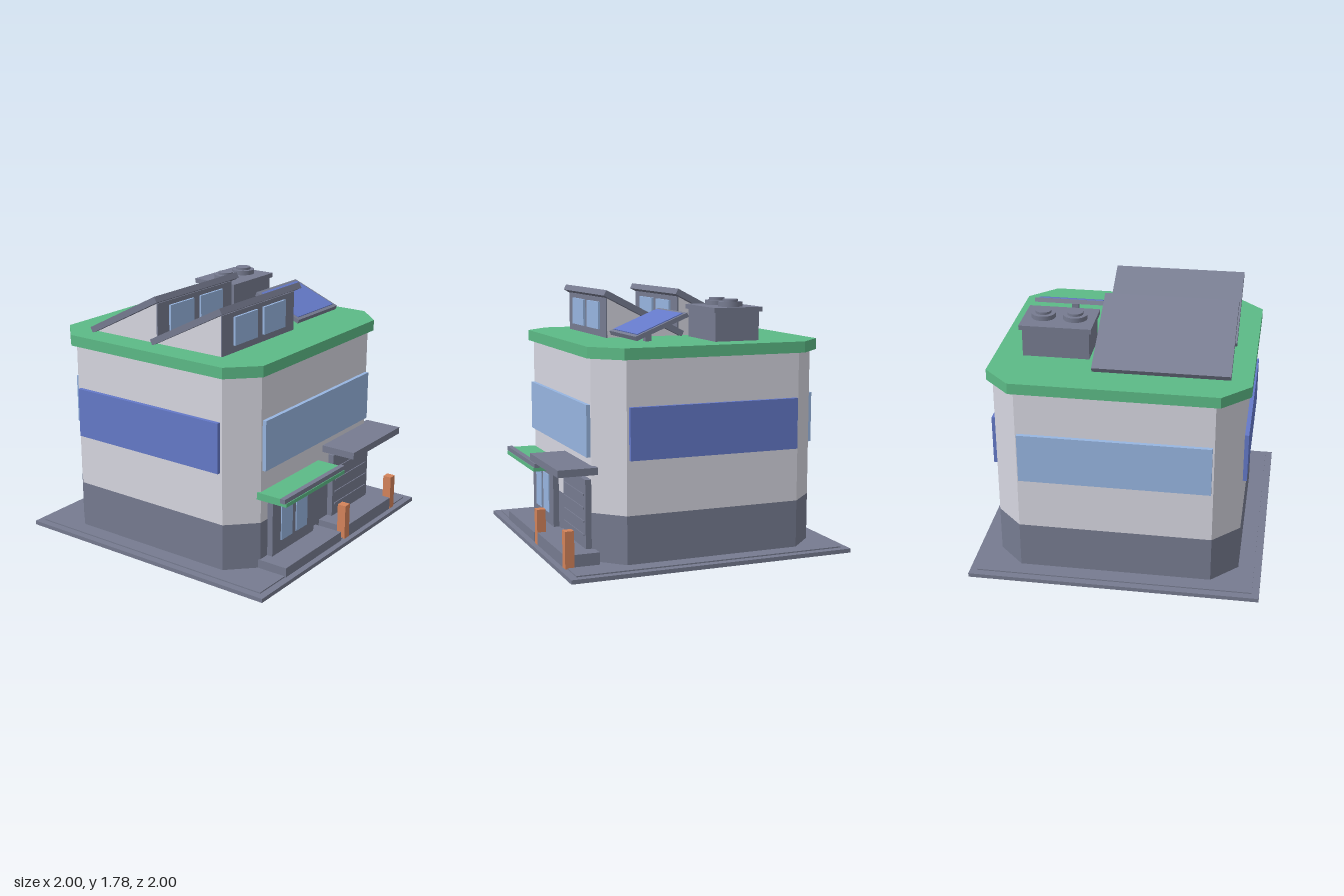
import * as THREE from 'three';

const mat = (name, color) => {
  const m = new THREE.MeshStandardMaterial({ color });
  m.name = name;
  return m;
};

export function createModel() {
  const grey = mat('slate grey', 0x767b90);
  const white = mat('wall white', 0xd6d6e0);
  const green = mat('roof green', 0x5cba86);
  const glass = mat('light glass', 0x97b5e0);
  const blue = mat('deep blue glass', 0x6479c8);
  const orange = mat('post orange', 0xd4835a);

  const model = new THREE.Group();
  model.name = 'building';

  const add = (name, geo, material, parent = model) => {
    const mesh = new THREE.Mesh(geo, material);
    mesh.name = name;
    parent.add(mesh);
    return mesh;
  };
  // Box given by its limits on each axis
  const box = (name, material, [x0, x1], [y0, y1], [z0, z1], parent) => {
    const mesh = add(name, new THREE.BoxGeometry(x1 - x0, y1 - y0, z1 - z0), material, parent);
    mesh.position.set((x0 + x1) / 2, (y0 + y1) / 2, (z0 + z1) / 2);
    return mesh;
  };
  // Upright prism on a rectangle with cut corners
  const prism = (name, material, hx, hz, cut, y0, y1) => {
    const pts = [[hx, hz - cut], [hx - cut, hz], [cut - hx, hz], [-hx, hz - cut],
      [-hx, cut - hz], [cut - hx, -hz], [hx - cut, -hz], [hx, cut - hz]];
    const shape = new THREE.Shape(pts.map(([x, y]) => new THREE.Vector2(x, y)));
    const geo = new THREE.ExtrudeGeometry(shape, { depth: y1 - y0, bevelEnabled: false });
    geo.rotateX(-Math.PI / 2);
    add(name, geo, material).position.set(0, y0, -0.046);
  };

  // Ground slab and main volume
  box('groundSlab', grey, [-1, 1], [0, 0.028], [-1, 1]);
  box('pavement', grey, [-0.95, 0.95], [0.028, 0.036], [-0.95, 0.95]);
  prism('lowerWall', grey, 0.84, 0.795, 0.18, 0.03, 0.36);
  prism('upperWall', white, 0.84, 0.795, 0.18, 0.36, 1.38);
  prism('roofSlab', green, 0.875, 0.826, 0.185, 1.375, 1.45);

  // Window bands on all four sides
  const bandY = [0.725, 1.07];
  box('frontWindow', glass, [-0.647, 0.647], bandY, [0.74, 0.776]);
  box('backWindow', glass, [-0.647, 0.647], bandY, [-0.868, -0.83]);
  box('leftWindow', blue, [0.83, 0.868], bandY, [-0.645, 0.553]);
  box('rightWindow', blue, [-0.868, -0.83], bandY, [-0.645, 0.553]);

  // Two sawtooth skylights
  [0, -0.53].forEach((dz) => {
    const g = new THREE.Group();
    g.name = 'skylight';
    g.position.z = dz;
    model.add(g);
    const side = new THREE.Shape([[-0.08, 1.448], [0.45, 1.448], [0.45, 1.72]]
      .map(([a, b]) => new THREE.Vector2(a, b)));
    const wedge = new THREE.ExtrudeGeometry(side, { depth: 0.825, bevelEnabled: false });
    wedge.rotateY(-Math.PI / 2);
    wedge.translate(0.135, 0, 0);
    add('skylightBody', wedge, white, g);
    box('skylightFront', grey, [-0.69, 0.135], [1.45, 1.722], [0.449, 0.459], g);
    box('skylightPane', glass, [-0.57, -0.315], [1.5, 1.69], [0.457, 0.475], g);
    box('skylightPane', glass, [-0.24, 0.013], [1.5, 1.69], [0.457, 0.475], g);
    const cover = add('skylightCover', new THREE.BoxGeometry(0.915, 0.042, 0.647), grey, g);
    cover.position.set(-0.277, 1.6125, 0.1925);
    cover.rotation.x = -0.477;
  });

  // Rooftop cooling unit with two fans
  box('coolerBody', grey, [0.228, 0.682], [1.45, 1.645], [-0.437, -0.117]);
  box('coolerCap', grey, [0.21, 0.7], [1.643, 1.675], [-0.456, -0.102]);
  [0.348, 0.565].forEach((x) => {
    add('fanRing', new THREE.CylinderGeometry(0.083, 0.083, 0.034, 20), grey).position.set(x, 1.69, -0.279);
    add('fanHub', new THREE.CylinderGeometry(0.054, 0.054, 0.026, 20), grey).position.set(x, 1.711, -0.279);
  });

  // Tilted solar panel on a post
  box('solarPost', grey, [0.433, 0.48], [1.45, 1.55], [0.258, 0.3]);
  const solar = new THREE.Group();
  solar.name = 'solarPanel';
  solar.position.set(0.457, 1.564, 0.273);
  solar.rotation.x = 0.385;
  model.add(solar);
  box('solarFrame', grey, [-0.253, 0.253], [-0.015, 0.015], [-0.195, 0.195], solar);
  box('solarCells', blue, [-0.228, 0.228], [0.014, 0.021], [-0.17, 0.17], solar);

  // Entrance with double doors, step and canopy
  box('entranceStep', grey, [-0.67, 0.022], [0.03, 0.096], [0.73, 0.96]);
  box('entranceFrame', grey, [-0.58, -0.072], [0.09, 0.52], [0.73, 0.79]);
  box('doorPane', glass, [-0.482, -0.348], [0.18, 0.457], [0.788, 0.797]);
  box('doorPane', glass, [-0.302, -0.165], [0.18, 0.457], [0.788, 0.797]);
  box('canopy', green, [-0.68, 0.036], [0.53, 0.58], [0.73, 0.935]);
  box('canopyLip', green, [-0.68, 0.036], [0.53, 0.556], [0.93, 0.962]);
  box('canopyTrim', grey, [-0.692, 0.044], [0.556, 0.587], [0.921, 0.957]);

  // Loading bay with slatted shutter, awning and guard posts
  box('bayPlatform', grey, [0.066, 0.76], [0.03, 0.118], [0.73, 0.965]);
  box('bayShutter', grey, [0.172, 0.655], [0.11, 0.58], [0.73, 0.79]);
  for (let i = 0; i < 4; i++) {
    const y = 0.2 + i * 0.09;
    box('shutterSlat', grey, [0.2, 0.627], [y, y + 0.012], [0.788, 0.797]);
  }
  box('bayAwning', grey, [0.09, 0.735], [0.625, 0.673], [0.73, 1]);
  [0.06, 0.705].forEach((x) => box('guardPost', orange, [x, x + 0.06], [0.03, 0.278], [0.904, 0.966]));

  return model;
}
